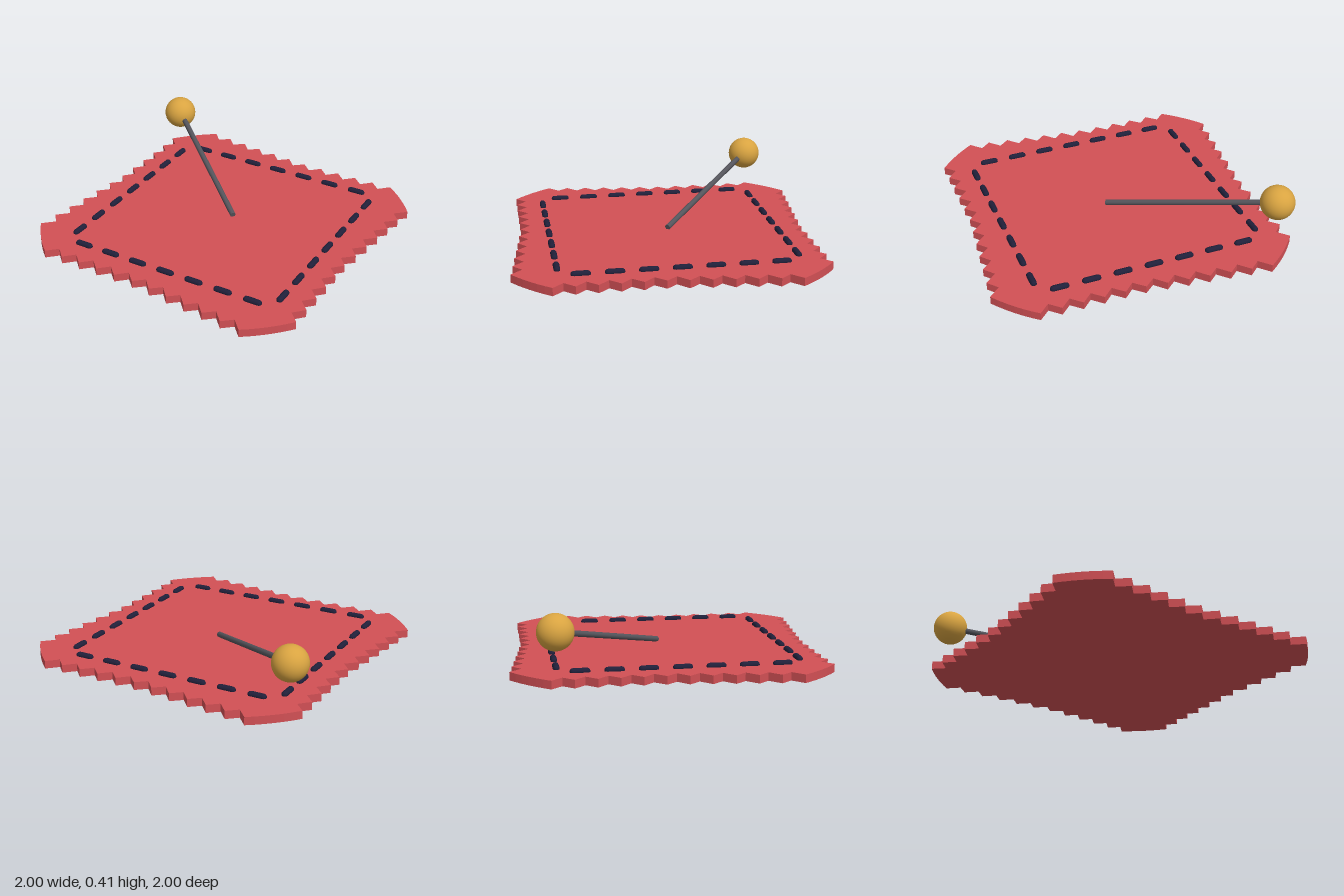
import * as THREE from 'three';

const mat = (name, color) => new THREE.MeshStandardMaterial({ name, color });

export function createModel() {
  const group = new THREE.Group();
  const redCloth = mat('redCloth', 0xd25055);
  const darkThread = mat('darkThread', 0x20203a);
  const grayMetal = mat('grayMetal', 0x55555c);
  const gold = mat('gold', 0xd9a441);

  const add = (name, geometry, material) => {
    const mesh = new THREE.Mesh(geometry, material);
    mesh.name = name;
    group.add(mesh);
    return mesh;
  };

  // Zigzag edge of one side, repeated by quarter turns
  const teeth = 11, step = 1.435 / teeth;
  const tip = (i) => [-0.66 + i * step, Math.min(-0.905, -1 + i * 0.0158)];
  const outline = [];
  for (let side = 0; side < 4; side++) {
    const edge = [];
    for (let i = 0; i <= teeth; i++) {
      const [x, z] = tip(i);
      edge.push([x, z]);
      if (i < teeth) edge.push([x + step / 2, (z + tip(i + 1)[1]) / 2 + 0.063]);
    }
    // Gently bowed corner
    const corner = new THREE.QuadraticBezierCurve(
      new THREE.Vector2(0.775, -0.905), new THREE.Vector2(0.905, -0.8), new THREE.Vector2(1, -0.66));
    corner.getPoints(6).slice(1, -1).forEach((p) => edge.push([p.x, p.y]));
    for (let [x, z] of edge) {
      for (let k = 0; k < side; k++) [x, z] = [-z, x];
      outline.push(new THREE.Vector2(x, -z));
    }
  }
  const cloth = new THREE.ExtrudeGeometry(new THREE.Shape(outline), { depth: 0.05, bevelEnabled: false });
  cloth.rotateX(-Math.PI / 2);
  add('clothPatch', cloth, redCloth);

  // Running stitches along all four sides
  const stitch = new THREE.CapsuleGeometry(0.02, 0.08, 3, 10).rotateZ(Math.PI / 2);
  for (let side = 0; side < 4; side++) {
    const row = new THREE.Group();
    row.name = 'stitchRow';
    row.rotation.y = side * Math.PI / 2;
    for (let i = -3; i <= 3; i++) {
      const mesh = new THREE.Mesh(stitch, darkThread);
      mesh.name = 'stitch';
      mesh.position.set(i * 0.2, 0.055, 0.73);
      row.add(mesh);
    }
    group.add(row);
  }

  // Slanted pin with a round head
  const foot = new THREE.Vector3(0.035, 0.063, -0.032);
  const head = new THREE.Vector3(-0.81, 0.305, -0.742);
  const axis = head.clone().sub(foot);
  const shaft = add('pinShaft', new THREE.CylinderGeometry(0.018, 0.018, axis.length(), 12), grayMetal);
  shaft.position.copy(foot).lerp(head, 0.5);
  shaft.quaternion.setFromUnitVectors(new THREE.Vector3(0, 1, 0), axis.normalize());
  add('pinHead', new THREE.SphereGeometry(0.108, 32, 20), gold).position.copy(head);

  return group;
}
